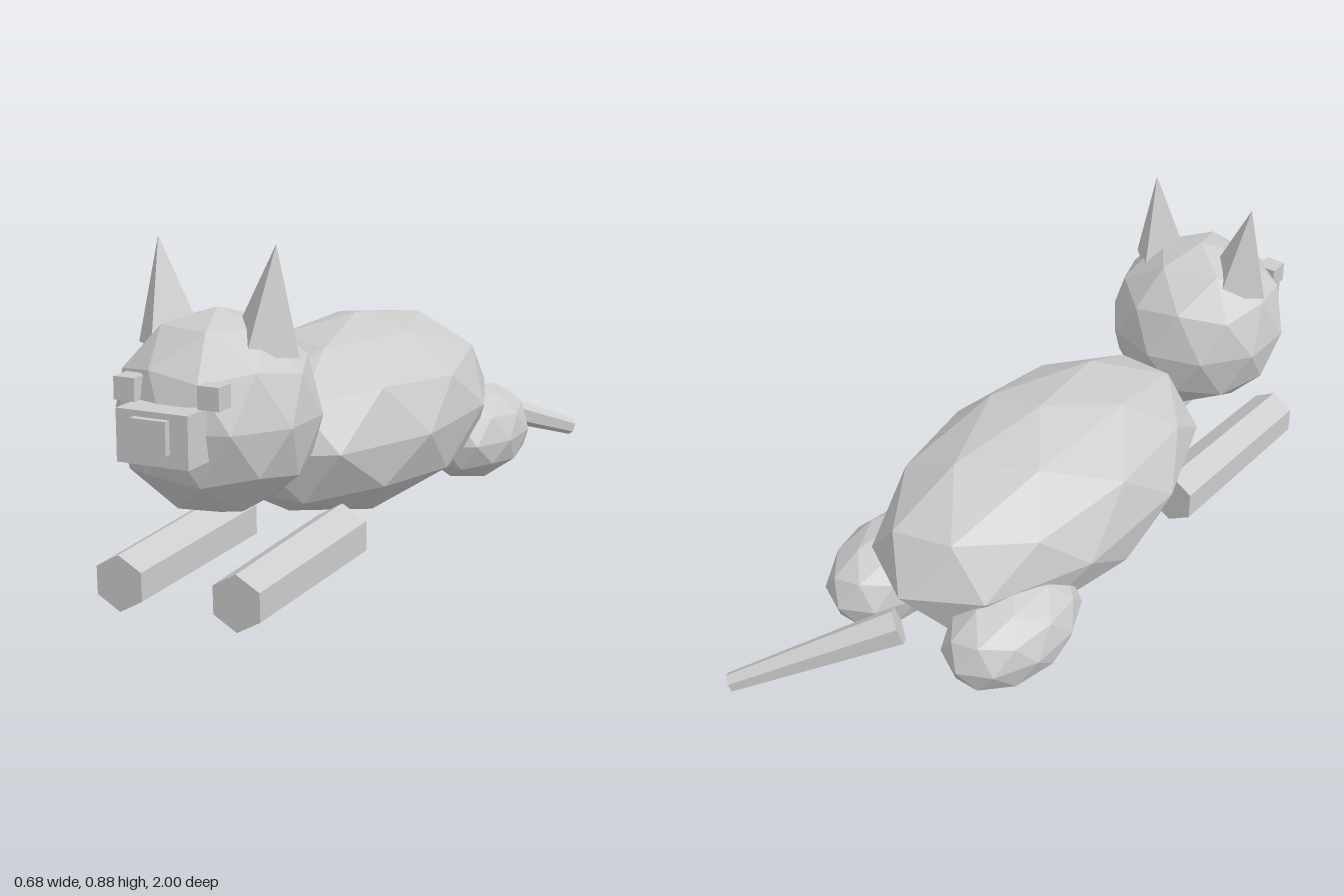
import * as THREE from 'three';

export function createModel() {
  const model = new THREE.Group();
  model.name = 'lyingAnimal';
  const grey = new THREE.MeshStandardMaterial({ color: 0xcccccc, flatShading: true });
  grey.name = 'plain grey';

  function add(name, geometry, x = 0, y = 0, z = 0) {
    const mesh = new THREE.Mesh(geometry, grey);
    mesh.name = name;
    mesh.position.set(x, y, z);
    model.add(mesh);
    return mesh;
  }

  // Faceted ball with one corner straight up, stretched on each axis
  function ball(name, x, y, z, rx, ry, rz) {
    const g = new THREE.IcosahedronGeometry(1, 1);
    g.rotateZ(-Math.atan(2 / (1 + Math.sqrt(5))));
    g.scale(rx, ry, rz);
    return add(name, g, x, y, z);
  }

  // Six-sided tapered bar from one point to another
  function bar(name, from, to, rFrom, rTo) {
    const a = new THREE.Vector3(...from), b = new THREE.Vector3(...to);
    const g = new THREE.CylinderGeometry(rTo, rFrom, a.distanceTo(b), 6);
    g.rotateX(Math.PI / 2);
    const mesh = add(name, g);
    mesh.position.copy(a).lerp(b, 0.5);
    mesh.lookAt(b);
    return mesh;
  }

  // Body and head
  ball('body', 0, 0.315, -0.07, 0.325, 0.266, 0.59);
  ball('head', 0, 0.471, 0.68, 0.254, 0.254, 0.254);

  // Snout and nose
  add('snout', new THREE.BoxGeometry(0.19, 0.127, 0.126), 0, 0.471, 0.919);
  add('nose', new THREE.BoxGeometry(0.094, 0.08, 0.06), 0, 0.48, 0.97);

  for (const s of [1, -1]) {
    const side = s > 0 ? 'left' : 'right';

    ball(side + 'Haunch', s * 0.2, 0.185, -0.45, 0.148, 0.136, 0.23);
    bar(side + 'FrontLeg', [s * 0.16, 0.089, 0.333], [s * 0.16, 0.074, 0.888], 0.078, 0.072);
    add(side + 'Eye', new THREE.BoxGeometry(0.056, 0.056, 0.056), s * 0.112, 0.563, 0.892);

    // Four-sided ear leaning outward, pivoted at its base
    const earShape = new THREE.ConeGeometry(0.093, 0.255, 4);
    earShape.translate(0, 0.1275, 0);
    const ear = add(side + 'Ear', earShape, s * 0.128, 0.632, 0.68);
    ear.rotation.z = -s * 0.126;
  }

  // Tail swept to one side
  bar('tail', [0, 0.228, -0.665], [0.312, 0.085, -0.98], 0.052, 0.026);

  return model;
}
